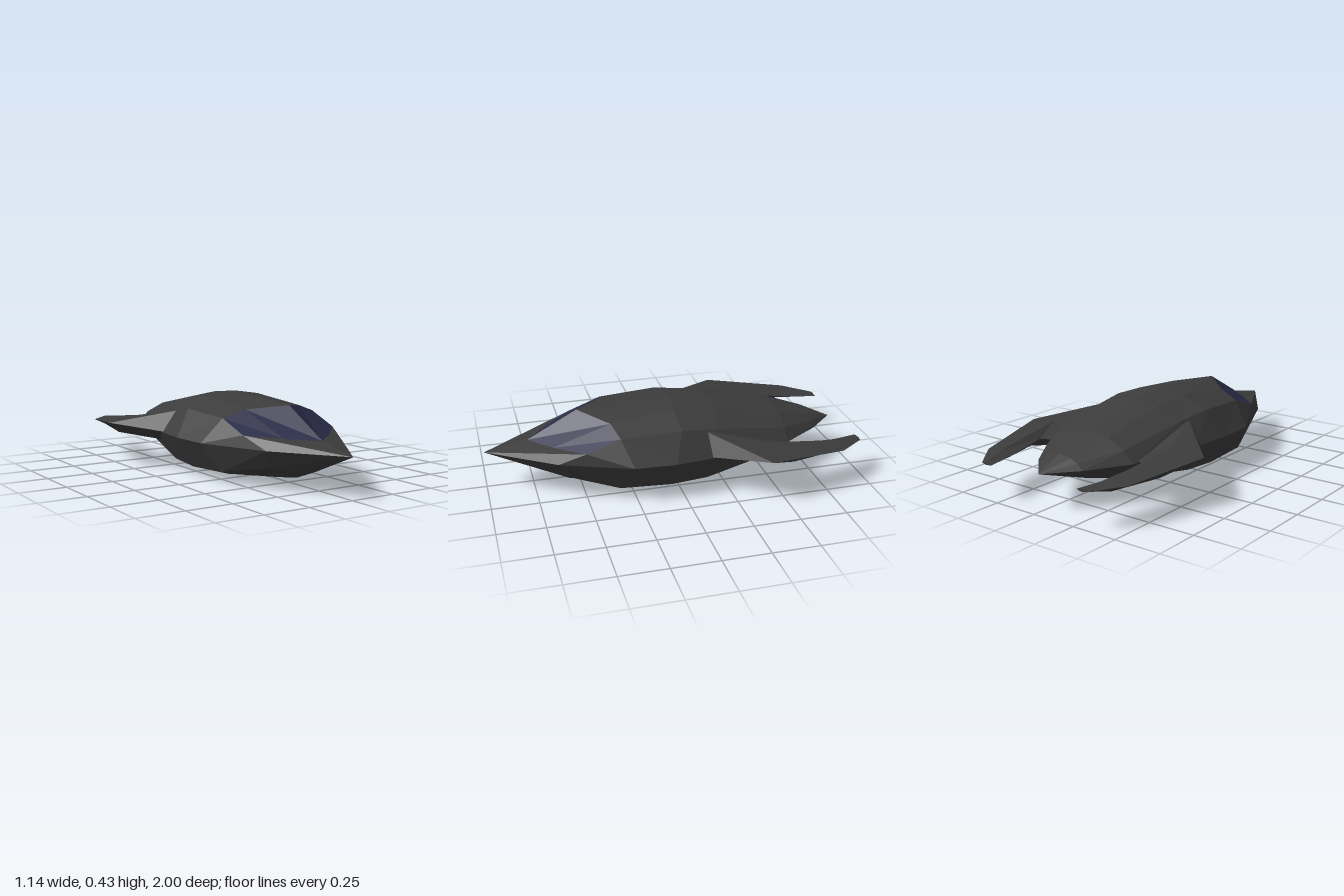
import * as THREE from 'three';

const paint = (color) => new THREE.MeshStandardMaterial({ color, flatShading: true });

// Skin over a list of equal-length rings (nose to tail, clockwise seen from the front).
// keep(i, k) picks the panels; flip(k) mirrors the panel diagonal.
function loft(rings, { keep = () => true, flip = () => false, cap = false } = {}) {
  const pos = [];
  const tri = (...pts) => pts.forEach((p) => pos.push(...p));
  for (let i = 0; i < rings.length - 1; i++) {
    const n = rings[i].length;
    for (let k = 0; k < n; k++) {
      if (!keep(i, k)) continue;
      const a = rings[i][k], b = rings[i][(k + 1) % n];
      const c = rings[i + 1][(k + 1) % n], d = rings[i + 1][k];
      if (flip(k)) { tri(a, b, d); tri(b, c, d); }
      else { tri(a, b, c); tri(a, c, d); }
    }
  }
  if (cap) {
    const e = rings[rings.length - 1];
    for (let k = 1; k < e.length - 1; k++) tri(e[0], e[k], e[k + 1]);
  }
  const g = new THREE.BufferGeometry();
  g.setAttribute('position', new THREE.Float32BufferAttribute(pos, 3));
  g.computeVertexNormals();
  return g;
}

const mirrorPoint = ([x, y, z]) => [-x, y, z];

// Half sections of the hull: top centre, shoulder, side, chine, lower side, belly, keel
const halfSections = [
  [[0, .25, .77], [.14, .255, .65], [.28, .265, .5], [.24, .203, .64], [.2, .11, .6], [.11, .05, .57], [0, .035, .57]],
  [[0, .395, .5], [.17, .37, .35], [.285, .33, .32], [.385, .203, .27], [.3, .055, .33], [.145, .02, .3], [0, .015, .3]],
  [[0, .425, 0], [.145, .402, 0], [.3, .345, 0], [.395, .203, .05], [.3, .04, .05], [.145, 0, .15], [0, 0, .15]],
  [[0, .4, -.22], [.14, .383, -.22], [.28, .325, -.2], [.37, .203, -.18], [.29, .05, -.15], [.145, .015, -.12], [0, .015, -.12]],
  [[0, .32, -.6], [.13, .305, -.6], [.23, .26, -.6], [.285, .2, -.6], [.22, .1, -.5], [.13, .055, -.46], [0, .05, -.46]],
  [[0, .255, -.81], [.07, .245, -.81], [.11, .225, -.81], [.145, .195, -.81], [.12, .145, -.74], [.07, .12, -.72], [0, .115, -.72]],
];

// Sections of one swept wing: top ridge, outer edge, bottom ridge, inner edge
const wingSections = [
  [[.27, .325, -.12], [.355, .205, -.13], [.27, .13, -.32], [.2, .2, -.5]],
  [[.39, .268, -.43], [.57, .24, -.41], [.43, .155, -.58], [.34, .215, -.6]],
  [[.36, .215, -.85], [.46, .2, -.85], [.38, .165, -.88], [.3, .19, -.86]],
  [[.32, .195, -1], [.345, .19, -1], [.31, .183, -1], [.275, .19, -1]],
];

export function createModel() {
  const model = new THREE.Group();
  const dark = paint(0x3c3c3c);
  const glass = paint(0x2a2c48);

  const add = (name, geometry, material) => {
    const mesh = new THREE.Mesh(geometry, material);
    mesh.name = name;
    model.add(mesh);
  };

  // Hull and canopy share the same rings, pointed at both ends
  const point = (p) => Array.from({ length: 12 }, () => p);
  const rings = [
    point([0, .205, 1]),
    ...halfSections.map((half) => [...half, ...half.slice(1, -1).reverse().map(mirrorPoint)]),
    point([0, .19, -.96]),
  ];
  const isGlass = (i, k) => i === 1 && (k < 2 || k > 9);
  const flip = (k) => k >= 6;
  add('hull', loft(rings, { keep: (i, k) => !isGlass(i, k), flip }), dark);
  add('canopy', loft(rings, { keep: isGlass, flip }), glass);

  // Backswept wings
  const mirrored = wingSections.map((s) => s.map(mirrorPoint).reverse());
  add('leftWing', loft(wingSections, { cap: true }), dark);
  add('rightWing', loft(mirrored, { cap: true, flip: () => true }), dark);

  return model;
}
